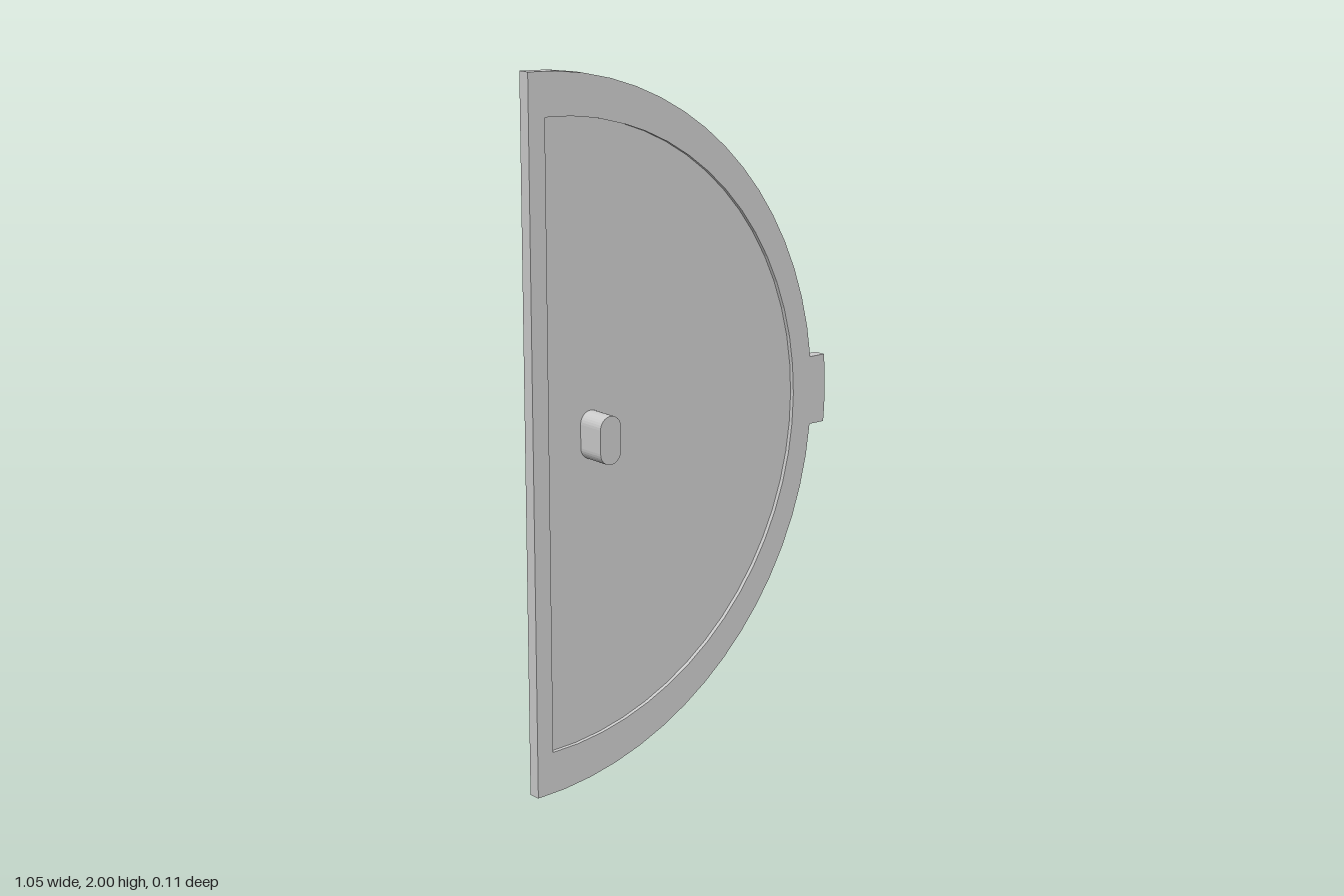
import * as THREE from 'three';

const BACK = -0.056, FLOOR = -0.032, FRONT = -0.02, KNOB_END = 0.055;
const EDGE_X = -0.527, MID_Y = 1;

// Half disc with a small latch tab at the middle of its curved edge
function doorOutline() {
  const r = 1, tabR = 1.053, tabHalf = 0.1;
  const a = Math.asin(tabHalf / r), b = Math.asin(tabHalf / tabR);
  const s = new THREE.Shape();
  s.moveTo(EDGE_X, MID_Y - r);
  s.absarc(EDGE_X, MID_Y, r, -Math.PI / 2, -a, false);
  s.absarc(EDGE_X, MID_Y, tabR, -b, b, false);
  s.absarc(EDGE_X, MID_Y, r, a, Math.PI / 2, false);
  s.closePath();
  return s;
}

// Smaller half disc for the sunken panel
function recessOutline() {
  const x = -0.474, r = 0.878;
  const p = new THREE.Path();
  p.moveTo(x, MID_Y - r);
  p.absarc(x, MID_Y, r, -Math.PI / 2, 0, false);
  p.absarc(x, MID_Y, r, 0, Math.PI / 2, false);
  p.closePath();
  return p;
}

// Upright slot shape with round ends
function knobOutline() {
  const x = -0.323, r = 0.035, h = 0.033;
  const s = new THREE.Shape();
  s.absarc(x, MID_Y + h, r, 0, Math.PI, false);
  s.absarc(x, MID_Y - h, r, Math.PI, Math.PI * 2, false);
  s.closePath();
  return s;
}

export function createModel() {
  const group = new THREE.Group();
  group.name = 'halfRoundDoor';
  const material = new THREE.MeshStandardMaterial({ color: 0xcccccc });

  const addSlab = (name, shape, z0, z1) => {
    const geometry = new THREE.ExtrudeGeometry(shape, {
      depth: z1 - z0, bevelEnabled: false, curveSegments: 8,
    });
    geometry.translate(0, 0, z0);
    const mesh = new THREE.Mesh(geometry, material);
    mesh.name = name;
    group.add(mesh);
  };

  // Full plate behind, raised rim in front
  addSlab('backPlate', doorOutline(), BACK, FLOOR);
  const rim = doorOutline();
  rim.holes.push(recessOutline());
  addSlab('raisedRim', rim, FLOOR, FRONT);

  // Knob standing on the sunken panel
  addSlab('knob', knobOutline(), FLOOR, KNOB_END);

  return group;
}
